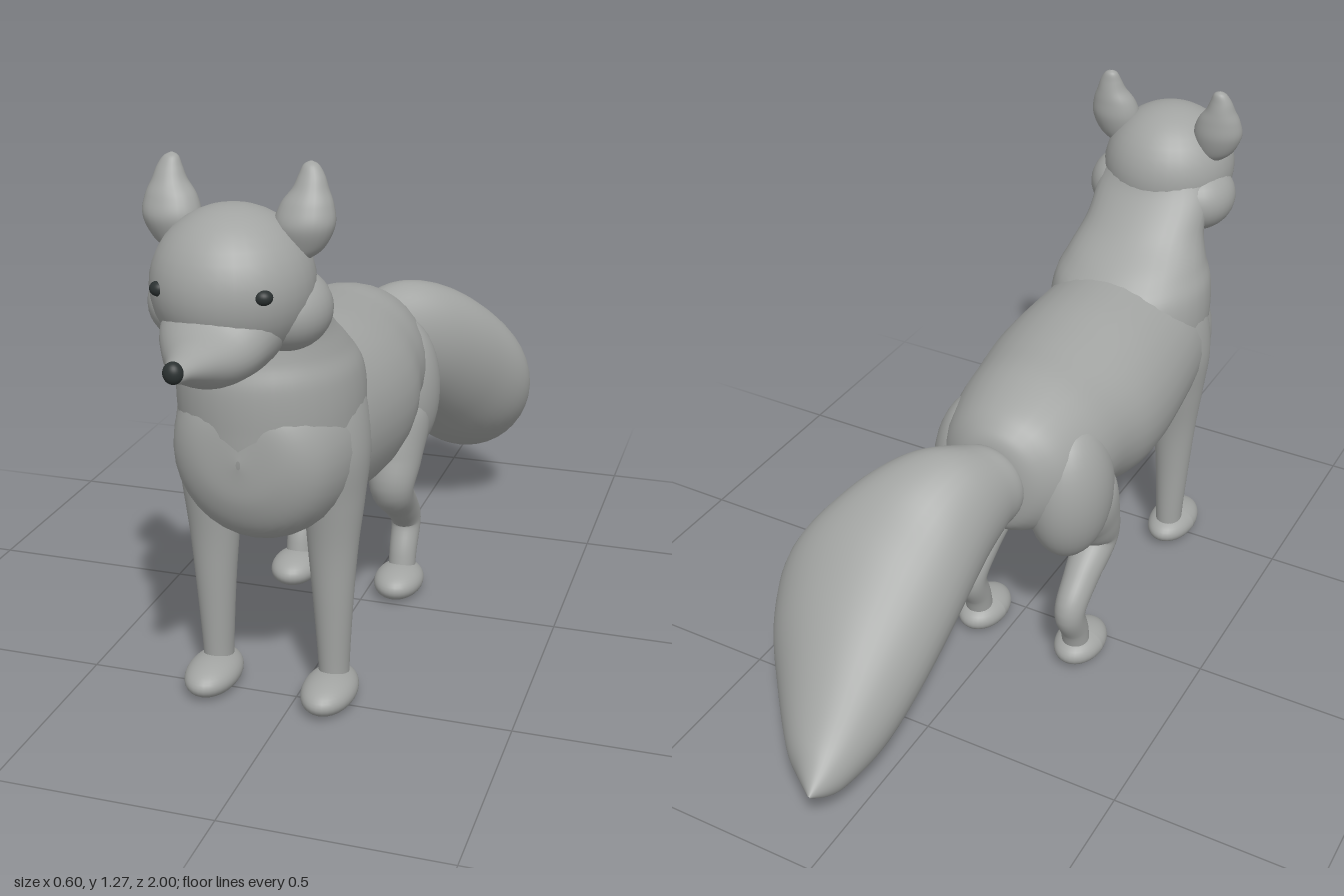
import * as THREE from 'three';

const fur = new THREE.MeshStandardMaterial({ color: 0xa2a4a2 });
fur.name = 'grey fur';
const dark = new THREE.MeshStandardMaterial({ color: 0x2b3131 });
dark.name = 'dark nose and eyes';

const AXIS = { y: new THREE.Vector3(0, 1, 0), z: new THREE.Vector3(0, 0, 1) };
const X = new THREE.Vector3(1, 0, 0);

// Smooth skin through elliptical sections [x, y, z, halfWidth, halfDepth].
// Sections lie square to the given axis, or to the path when none is given.
function loft(name, sections, axis, sides = 32, perSection = 6) {
  const path = new THREE.CatmullRomCurve3(sections.map(s => new THREE.Vector3(s[0], s[1], s[2])), false, 'catmullrom', 0.5);
  const radii = new THREE.CatmullRomCurve3(sections.map(s => new THREE.Vector3(s[3], s[4], 0)), false, 'catmullrom', 0.5);
  const rows = (sections.length - 1) * perSection;
  const pos = [], index = [];
  for (let i = 0; i <= rows; i++) {
    const t = i / rows, c = path.getPoint(t), r = radii.getPoint(t);
    const dir = axis ? AXIS[axis] : path.getTangent(t).setX(0).normalize();
    const v = new THREE.Vector3().crossVectors(dir, X);
    for (let j = 0; j < sides; j++) {
      const a = (j / sides) * Math.PI * 2;
      const p = c.clone().addScaledVector(X, Math.cos(a) * Math.max(r.x, 0.001))
        .addScaledVector(v, Math.sin(a) * Math.max(r.y, 0.001));
      pos.push(p.x, p.y, p.z);
      if (i < rows) {
        const k = i * sides + j, n = i * sides + (j + 1) % sides;
        index.push(k, n, n + sides, k, n + sides, k + sides);
      }
    }
  }
  const g = new THREE.BufferGeometry();
  g.setAttribute('position', new THREE.Float32BufferAttribute(pos, 3));
  g.setIndex(index);
  g.computeVertexNormals();
  const mesh = new THREE.Mesh(g, fur);
  mesh.name = name;
  return mesh;
}

// Section helpers: spans along z by [z, top, bottom, halfWidth, x], along y by [y, front, back, halfWidth, x]
const alongZ = list => list.map(([z, top, bot, w, x = 0]) => [x, (top + bot) / 2, z, w, (top - bot) / 2]);
const alongY = list => list.map(([y, front, back, w, x = 0]) => [x, y, (front + back) / 2, w, (front - back) / 2]);

function ellipsoid(name, c, r, material = fur) {
  const g = new THREE.SphereGeometry(1, 32, 20);
  g.scale(...r);
  const mesh = new THREE.Mesh(g, material);
  mesh.position.set(...c);
  mesh.name = name;
  return mesh;
}

// Rounded paw with a flat sole on the ground
function paw(name, x, z, length) {
  const mesh = ellipsoid(name, [x, 0.034, z], [0.062, 0.042, length / 2]);
  const p = mesh.geometry.attributes.position;
  for (let i = 0; i < p.count; i++) p.setY(i, Math.max(p.getY(i), -0.034));
  mesh.geometry.computeVertexNormals();
  return mesh;
}

export function createModel() {
  const model = new THREE.Group();
  model.name = 'fox';
  const body = new THREE.Group();
  body.name = 'body';
  body.position.x = -0.06;
  model.add(body);

  // Torso, rump to chest
  body.add(loft('torso', alongZ([
    [-0.285, 0.62, 0.60, 0.005], [-0.278, 0.71, 0.50, 0.08], [-0.25, 0.75, 0.46, 0.13],
    [-0.2, 0.78, 0.435, 0.17], [-0.1, 0.81, 0.42, 0.2], [0, 0.82, 0.42, 0.215],
    [0.1, 0.83, 0.39, 0.235], [0.2, 0.84, 0.38, 0.238], [0.32, 0.845, 0.395, 0.23],
    [0.45, 0.85, 0.41, 0.215], [0.55, 0.83, 0.415, 0.195], [0.62, 0.79, 0.455, 0.16],
    [0.66, 0.74, 0.53, 0.1], [0.672, 0.64, 0.62, 0.005]]), 'z'));

  // Neck, deep at the chest and narrowing into the head
  body.add(loft('neck', alongY([
    [0.5, 0.6, 0.3, 0.13], [0.6, 0.66, 0.25, 0.19], [0.7, 0.672, 0.24, 0.205], [0.79, 0.672, 0.26, 0.2],
    [0.85, 0.655, 0.32, 0.178], [0.92, 0.65, 0.415, 0.155], [1.0, 0.68, 0.49, 0.15],
    [1.06, 0.7, 0.52, 0.12]]), 'y'));

  // Head with snout tapering to the nose
  body.add(ellipsoid('skull', [0, 1.025, 0.67], [0.167, 0.16, 0.17]));
  body.add(loft('snout', alongZ([
    [0.62, 1.08, 0.86, 0.1], [0.7, 1.07, 0.85, 0.125], [0.78, 1.03, 0.85, 0.115],
    [0.84, 0.982, 0.857, 0.085], [0.9, 0.963, 0.882, 0.052], [0.95, 0.952, 0.905, 0.03],
    [0.98, 0.945, 0.915, 0.018], [0.988, 0.935, 0.93, 0.002]]), 'z'));
  body.add(ellipsoid('nose', [0, 0.937, 0.982], [0.02, 0.022, 0.018], dark));

  for (const [side, s] of [['left', 1], ['right', -1]]) {
    // Cheek, eye and ear
    body.add(ellipsoid(side + 'Cheek', [s * 0.1, 0.97, 0.635], [0.093, 0.085, 0.105]));
    body.add(ellipsoid(side + 'Eye', [s * 0.107, 1.036, 0.79], [0.02, 0.016, 0.018], dark));
    body.add(loft(side + 'Ear', alongY([
      [1.07, 0.66, 0.62, 0.02, s * 0.12], [1.1, 0.675, 0.6, 0.048, s * 0.132], [1.145, 0.688, 0.587, 0.062, s * 0.14],
      [1.185, 0.675, 0.588, 0.054, s * 0.144], [1.215, 0.657, 0.592, 0.037, s * 0.149], [1.24, 0.643, 0.597, 0.027, s * 0.15],
      [1.26, 0.63, 0.602, 0.016, s * 0.148], [1.268, 0.616, 0.612, 0.002, s * 0.147]]), 'y', 24));

    // Front leg running up into the shoulder
    body.add(loft(side + 'FrontLeg', alongY([
      [0.03, 0.505, 0.43, 0.034, s * 0.14], [0.1, 0.507, 0.428, 0.036, s * 0.14],
      [0.25, 0.515, 0.425, 0.046, s * 0.14], [0.38, 0.523, 0.415, 0.057, s * 0.14],
      [0.5, 0.54, 0.39, 0.068, s * 0.143], [0.62, 0.56, 0.36, 0.075, s * 0.145],
      [0.74, 0.55, 0.35, 0.06, s * 0.138], [0.83, 0.5, 0.39, 0.02, s * 0.12]]), 'y'));
    body.add(paw(side + 'FrontPaw', s * 0.14, 0.5, 0.2));

    // Hind leg: haunch, knee, hock, ankle
    body.add(ellipsoid(side + 'Haunch', [s * 0.125, 0.54, -0.125], [0.1, 0.185, 0.125]));
    body.add(loft(side + 'HindLeg', [
      [s * 0.14, 0.03, -0.1, 0.034, 0.035], [s * 0.14, 0.1, -0.115, 0.035, 0.036],
      [s * 0.14, 0.18, -0.142, 0.038, 0.042], [s * 0.14, 0.25, -0.08, 0.044, 0.046],
      [s * 0.14, 0.32, -0.005, 0.055, 0.052], [s * 0.14, 0.4, -0.03, 0.068, 0.075],
      [s * 0.135, 0.5, -0.08, 0.075, 0.1], [s * 0.12, 0.6, -0.11, 0.03, 0.03]]));
    body.add(paw(side + 'HindPaw', s * 0.14, -0.078, 0.175));
  }

  // Bushy tail swept down and to one side
  model.add(loft('tail', alongZ([
    [-1, 0.237, 0.233, 0.002, -0.018], [-0.95, 0.28, 0.185, 0.047, 0.003], [-0.9, 0.325, 0.155, 0.086, 0.026],
    [-0.8, 0.43, 0.14, 0.143, 0.057], [-0.7, 0.53, 0.17, 0.19, 0.085], [-0.6, 0.625, 0.235, 0.21, 0.09],
    [-0.5, 0.705, 0.32, 0.185, 0.055], [-0.4, 0.74, 0.41, 0.147, 0.013], [-0.32, 0.725, 0.475, 0.108, -0.03],
    [-0.27, 0.7, 0.51, 0.085, -0.055], [-0.24, 0.63, 0.58, 0.02, -0.06]]), 'z', 40));

  return model;
}
